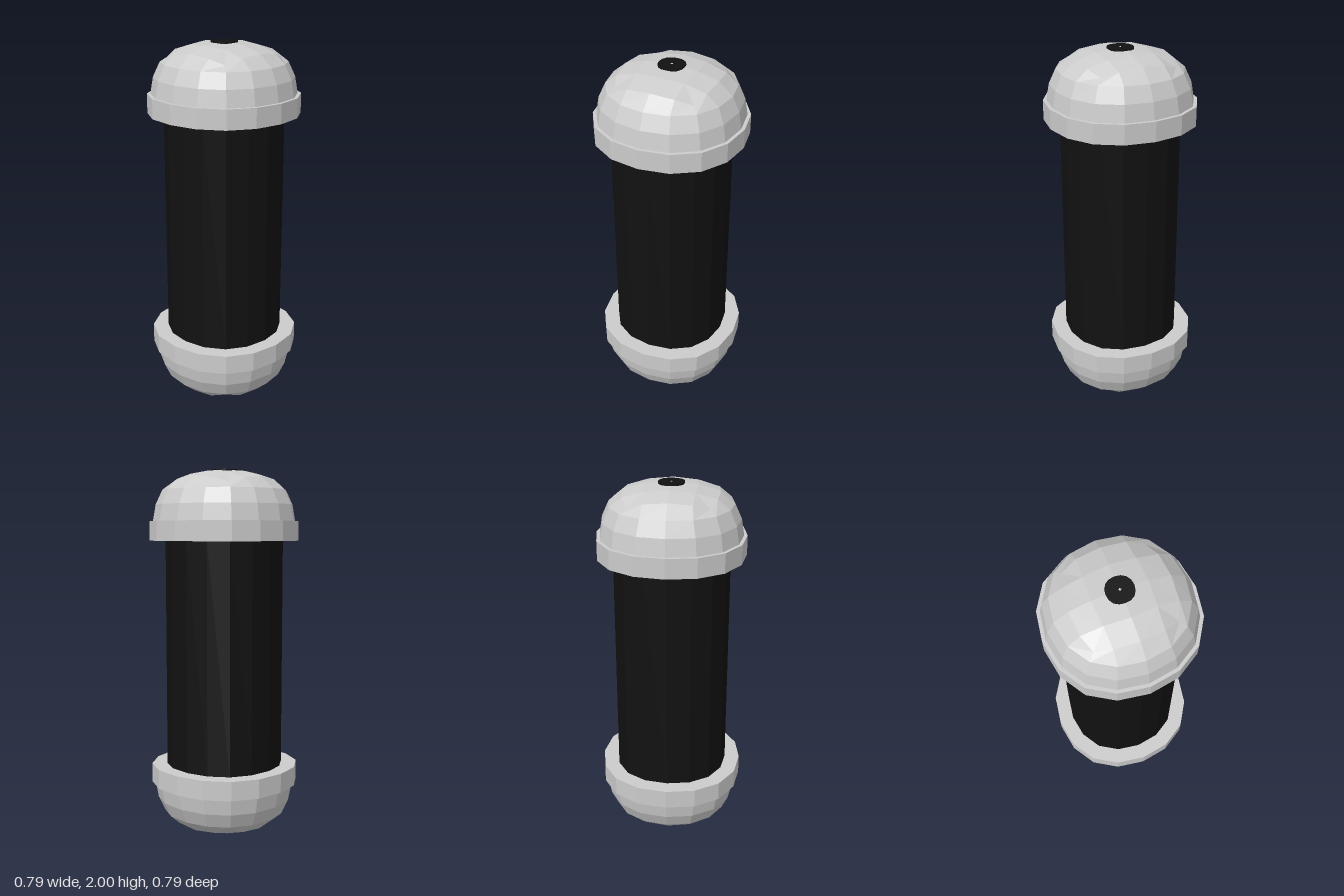
import * as THREE from 'three';

const grey = new THREE.MeshStandardMaterial({ color: 0xcccccc, flatShading: true });
const black = new THREE.MeshStandardMaterial({ color: 0x111111, flatShading: true });

// Repeats one quarter of an outline [x, z, y] four times around the y axis
function quarterTurns(quarter) {
  const pts = [];
  for (let q = 0; q < 4; q++) {
    const c = [1, 0, -1, 0][q], s = [0, 1, 0, -1][q];
    for (const [x, z, y = 0] of quarter) pts.push(new THREE.Vector3(c * x - s * z, y, s * x + c * z));
  }
  return pts;
}

// Sixteen-sided, slightly squarish outline of a given radius
function roundOutline(r, y = 0) {
  return quarterTurns([[r, 0, y], [0.936 * r, 0.4 * r, y], [0.731 * r, 0.731 * r, y], [0.4 * r, 0.936 * r, y]]);
}

// Solid prism with that outline, from y0 up to y1
function prism(name, r, y0, y1, material) {
  const shape = new THREE.Shape(roundOutline(r).map((p) => new THREE.Vector2(p.x, p.z)));
  const geo = new THREE.ExtrudeGeometry(shape, { depth: y1 - y0, bevelEnabled: false });
  geo.rotateX(-Math.PI / 2).translate(0, y0, 0);
  const mesh = new THREE.Mesh(geo, material);
  mesh.name = name;
  return mesh;
}

// Dome of quads: a 4 x 4 patch on top, then rings of sixteen faces down the side
function domeGeometry() {
  const apex = new THREE.Vector3(0, 1.0, 0);
  const inner = quarterTurns([[0.14, 0, 0.987], [0.13, 0.13, 0.977]]);
  const rim = quarterTurns([[0.25, 0, 0.956], [0.24, 0.125, 0.945], [0.208, 0.208, 0.918], [0.125, 0.24, 0.945]]);
  const rings = [rim, roundOutline(0.325, 0.892), roundOutline(0.361, 0.813), roundOutline(0.376, 0.724)];
  const pos = [];
  const quad = (a, b, c, d) => { for (const p of [a, d, c, a, c, b]) pos.push(p.x, p.y, p.z); };

  for (let q = 0; q < 4; q++) {
    const axis = inner[2 * q], corner = inner[2 * q + 1], next = inner[(2 * q + 2) % 8];
    const o = (k) => rim[(4 * q + k) % 16];
    quad(apex, axis, corner, next);
    quad(axis, o(0), o(1), corner);
    quad(corner, o(1), o(2), o(3));
    quad(corner, o(3), o(4), next);
  }
  for (let r = 0; r < 3; r++) {
    for (let k = 0; k < 16; k++) {
      const n = (k + 1) % 16;
      quad(rings[r][k], rings[r + 1][k], rings[r + 1][n], rings[r][n]);
    }
  }
  const geo = new THREE.BufferGeometry();
  geo.setAttribute('position', new THREE.Float32BufferAttribute(pos, 3));
  geo.computeVertexNormals();
  return geo;
}

// End cap: collar, dome and the small dark contact at the tip
function endCap(name) {
  const cap = new THREE.Group();
  cap.name = name;
  cap.add(prism('collar', 0.394, 0.62, 0.725, grey));
  const dome = new THREE.Mesh(domeGeometry(), grey);
  dome.name = 'dome';
  cap.add(dome);
  cap.add(prism('tipDisc', 0.069, 0.985, 0.9993, black));
  return cap;
}

export function createModel() {
  const model = new THREE.Group();
  model.name = 'cappedCylinder';

  const middle = new THREE.Group();
  middle.name = 'middle';
  middle.position.y = 1;
  model.add(middle);

  middle.add(prism('barrel', 0.311, -0.63, 0.63, black));
  const top = endCap('topCap');
  const bottom = endCap('bottomCap');
  bottom.rotation.x = Math.PI;
  middle.add(top, bottom);
  return model;
}
